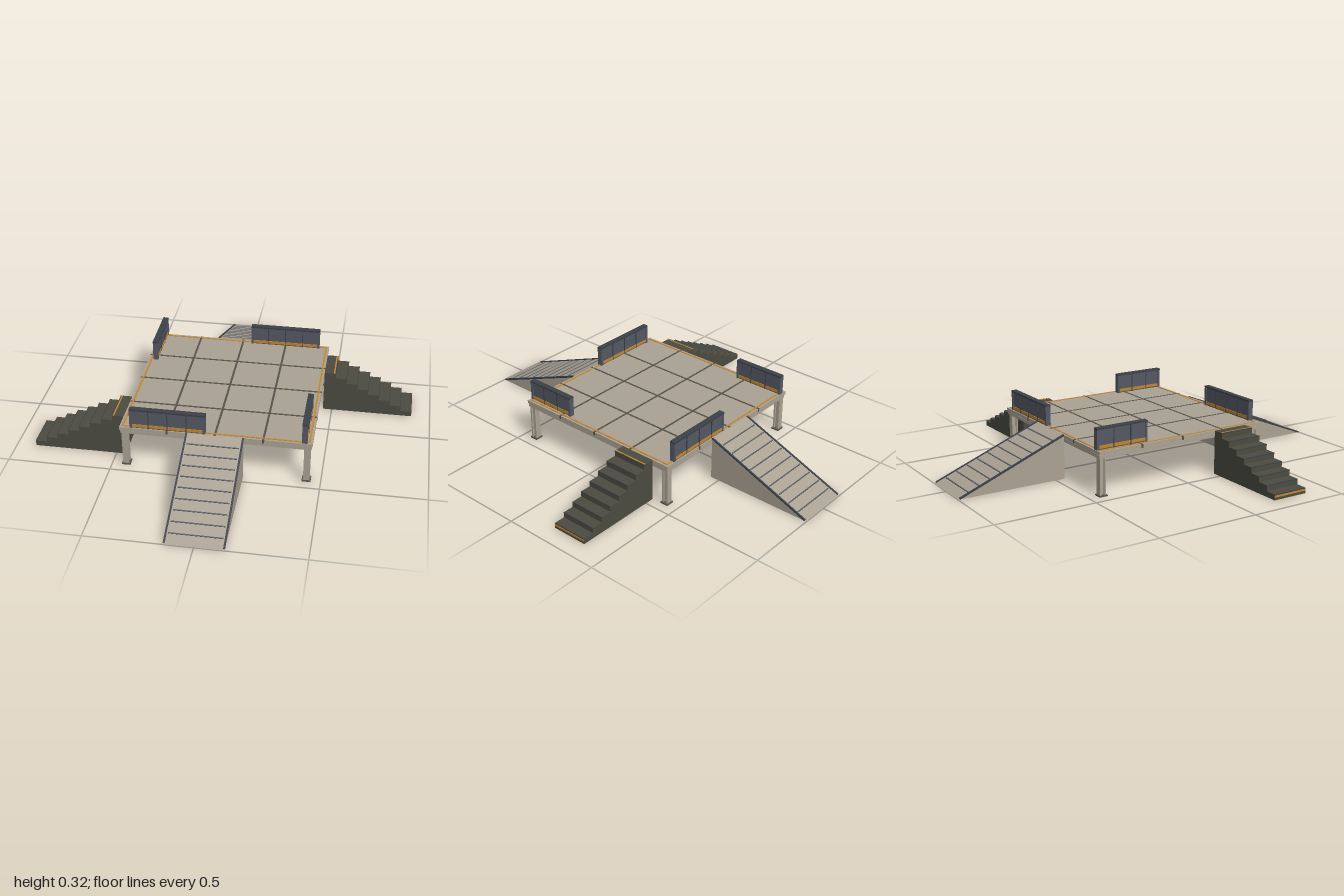
import * as THREE from 'three';

const mat = (name, color) => {
  const m = new THREE.MeshStandardMaterial({ color });
  m.name = name;
  return m;
};

export function createModel() {
  const tan = mat('tan', 0xa9a192);
  const seamGrey = mat('seamGrey', 0x55524b);
  const slate = mat('slate', 0x545862);
  const darkSlate = mat('darkSlate', 0x3c4048);
  const olive = mat('olive', 0x4b4b41);
  const orange = mat('orange', 0xc4852b);

  const H = 0.215; // deck height
  const E = 0.455; // deck half width

  // Box given by its limits on each axis
  const box = (parent, name, m, [x0, x1], [y0, y1], [z0, z1]) => {
    const mesh = new THREE.Mesh(new THREE.BoxGeometry(x1 - x0, y1 - y0, z1 - z0), m);
    mesh.position.set((x0 + x1) / 2, (y0 + y1) / 2, (z0 + z1) / 2);
    mesh.name = name;
    parent.add(mesh);
    return mesh;
  };
  const group = (parent, name) => {
    const g = new THREE.Group();
    g.name = name;
    parent.add(g);
    return g;
  };
  const prism = (points, depth) => new THREE.ExtrudeGeometry(
    new THREE.Shape(points.map(([x, y]) => new THREE.Vector2(x, y))), { depth, bevelEnabled: false });

  const model = new THREE.Group();
  model.name = 'raisedPlatform';

  // Deck with panel seams, running through to the underside
  const deck = group(model, 'deck');
  box(deck, 'deckSlab', tan, [-E, E], [0.199, H], [-E, E]);
  for (const p of [-0.227, 0, 0.227]) {
    box(deck, 'seamAlongZ', seamGrey, [p - 0.005, p + 0.005], [0.198, H + 0.001], [-E - 0.001, E + 0.001]);
    box(deck, 'seamAlongX', seamGrey, [-E - 0.001, E + 0.001], [0.198, H + 0.001], [p - 0.005, p + 0.005]);
  }
  // Beams below the deck
  for (const s of [-1, 0, 1]) {
    const c = s * 0.439, w = s ? 0.012 : 0.009;
    box(deck, 'beamAlongX', tan, [-0.451, 0.451], [0.18, 0.196], [c - w, c + w]);
    box(deck, 'beamAlongZ', tan, [c - w, c + w], [0.18, 0.196], [-0.451, 0.451]);
  }
  box(deck, 'beamGroove', seamGrey, [-0.445, 0.445], [0.195, 0.2], [-0.445, 0.445]).visible = false;
  for (const s of [-1, 1]) {
    box(deck, 'grooveAlongX', seamGrey, [-0.447, 0.447], [0.195, 0.2], [s * 0.443 - 0.004, s * 0.443 + 0.004]);
    box(deck, 'grooveAlongZ', seamGrey, [s * 0.443 - 0.004, s * 0.443 + 0.004], [0.195, 0.2], [-0.447, 0.447]);
  }
  // Orange rim lines
  for (const s of [-1, 1]) {
    const c = s * 0.44;
    box(deck, 'rimLineAlongX', orange, [-0.444, 0.444], [H, H + 0.002], [c - 0.004, c + 0.004]);
    box(deck, 'rimLineAlongZ', orange, [c - 0.004, c + 0.004], [H, H + 0.002], [-0.444, 0.444]);
  }

  // H-section legs with base plates
  for (const sx of [-1, 1]) for (const sz of [-1, 1]) {
    const leg = group(model, 'leg');
    leg.position.set(sx * 0.432, 0, sz * 0.432);
    for (const s of [-1, 1])
      box(leg, 'legFlange', tan, [-0.015, 0.015], [0.005, 0.182], [s * 0.012 - 0.004, s * 0.012 + 0.004]);
    box(leg, 'legWeb', tan, [-0.006, 0.006], [0.005, 0.182], [-0.01, 0.01]);
    box(leg, 'basePlate', seamGrey, [-0.021, 0.021], [0, 0.006], [-0.021, 0.021]);
  }

  // Barrier panel, built along x and centred on its own origin
  const barrier = (parent, name, length, bays) => {
    const g = group(parent, name), h = length / 2;
    box(g, 'panel', slate, [-h, h], [H, 0.31], [-0.009, 0.009]);
    box(g, 'topRail', darkSlate, [-h, h], [0.309, 0.317], [-0.014, 0.014]);
    for (const s of [-1, 1]) {
      box(g, 'endPost', slate, [s * (h - 0.006) - 0.006, s * (h - 0.006) + 0.006], [H, 0.31], [-0.013, 0.013]);
      box(g, 'orangeStrip', orange, [-h + 0.012, h - 0.012], [0.221, 0.235],
        [s * 0.0105 - 0.0015, s * 0.0105 + 0.0015]);
    }
    for (let i = 1; i < bays; i++) {
      const x = -h + (length * i) / bays;
      box(g, 'panelJoint', darkSlate, [x - 0.002, x + 0.002], [H, 0.31], [-0.0125, 0.0125]);
    }
    return g;
  };

  // Hollow ramp, open at the bottom
  const makeRamp = (parent) => {
    const g = group(parent, 'ramp'), W = 0.135;
    const across = (name, points, x, width) => {
      const geo = prism(points, width).rotateY(-Math.PI / 2).translate(x + width / 2, 0, 0);
      const mesh = new THREE.Mesh(geo, tan);
      mesh.name = name;
      g.add(mesh);
    };
    across('slope', [[E, H], [E, H - 0.008], [0.98, 0], [1, 0]], 0, 2 * W);
    for (const s of [-1, 1])
      across('rampSide', [[E, 0], [1, 0], [E, H]], s * (W - 0.003), 0.006);
    box(g, 'rampInnerWall', tan, [-W, W], [0, H - 0.004], [E, E + 0.006]);
    // Grip bars and edge trims laid on the incline
    const incline = group(g, 'incline'), run = 1 - E, L = Math.hypot(run, H);
    incline.position.set(0, H, E);
    incline.rotation.x = Math.atan2(H, run);
    for (let i = 1; i <= 9; i++) {
      const z = (L * i) / 10;
      box(incline, 'gripBar', slate, [-0.122, 0.122], [-0.011, 0.002], [z - 0.003, z + 0.003]);
    }
    for (const s of [-1, 1])
      box(incline, 'edgeTrim', darkSlate, [s * 0.133 - 0.004, s * 0.133 + 0.004], [-0.004, 0.004], [0, L - 0.008]);
  };

  // Hollow stairs on the left side, open at the bottom
  const makeStairs = (parent) => {
    const g = group(parent, 'stairs'), N = 8, X1 = 0.905;
    const run = (X1 - E) / N, rise = H / N, z0 = -0.365, z1 = -0.185;
    const outline = [[E, 0], [X1, 0]];
    for (let i = 0; i < N; i++) {
      const x = X1 - i * run, y = (i + 1) * rise;
      outline.push([x, y], [x - run, y]);
      box(g, 'tread', olive, [x - run, x], [y - 0.006, y], [z0 + 0.004, z1 - 0.004]);
      box(g, 'riser', olive, [x - 0.006, x], [y - rise, y - 0.005], [z0 + 0.004, z1 - 0.004]);
      box(g, 'nosing', darkSlate, [x - 0.002, x + 0.001], [y - 0.003, y + 0.001], [z0, z1]);
    }
    for (const z of [z0, z1 - 0.006]) {
      const side = new THREE.Mesh(prism(outline, 0.006).translate(0, 0, z), olive);
      side.name = 'stairSide';
      g.add(side);
    }
    box(g, 'stairInnerWall', olive, [E, E + 0.006], [0, H - 0.004], [z0 + 0.004, z1 - 0.004]);
    // Orange warning strips on the top tread and the lowest riser
    box(g, 'topWarningStrip', orange, [0.501, 0.508], [H - 0.001, H + 0.0015], [z0, z1]);
    box(g, 'bottomWarningStrip', orange, [X1 - 0.002, X1 + 0.0015], [0.013, 0.022], [z0, z1]);
  };

  // Each half carries a ramp, stairs and two barriers; the second is turned half round
  for (const [name, turn] of [['frontHalf', 0], ['backHalf', Math.PI]]) {
    const half = group(model, name);
    half.rotation.y = turn;
    makeRamp(half);
    makeStairs(half);
    barrier(half, 'longBarrier', 0.36, 4).position.set(-0.225, 0, 0.439);
    const side = barrier(half, 'shortBarrier', 0.27, 3);
    side.position.set(0.418, 0, 0.317);
    side.rotation.y = Math.PI / 2;
  }
  // Drop the unused filler so only shown parts remain
  deck.remove(deck.getObjectByName('beamGroove'));
  return model;
}
